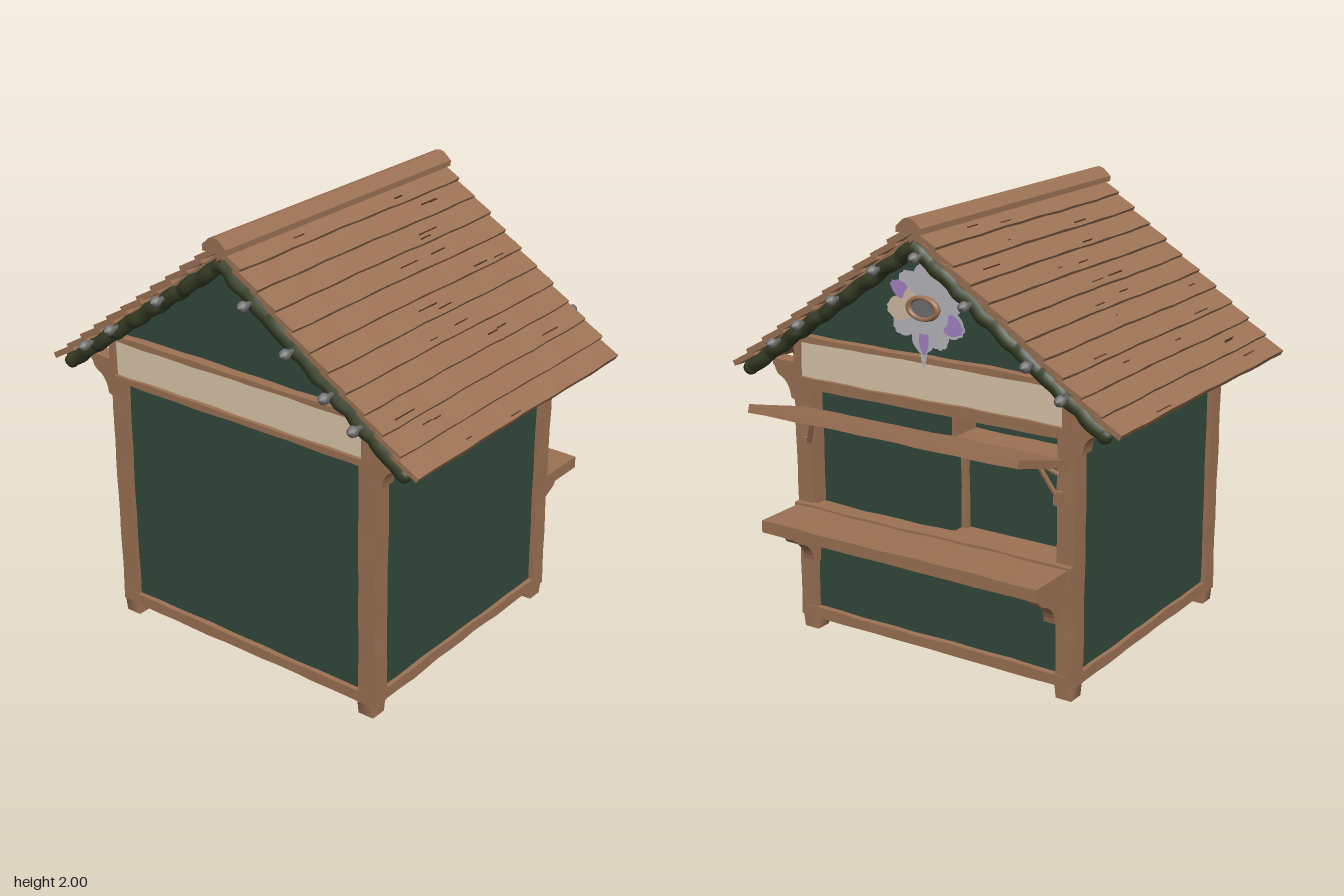
import * as THREE from 'three';

const mat = (name, color, side = THREE.FrontSide) => {
  const m = new THREE.MeshStandardMaterial({ color, side });
  m.name = name;
  return m;
};

export function createModel() {
  const root = new THREE.Group();
  root.name = 'marketStall';
  const wood = mat('wood', 0x9c7254);
  const crack = mat('darkCrack', 0x4b3222);
  const green = mat('greenPaint', 0x33493c);
  const leaf = mat('garlandGreen', 0x363d25);
  const cream = mat('cream', 0xdcc8ac);
  const grey = mat('bulbGrey', 0x707070);
  const petalWhite = mat('petalWhite', 0xb9b8bd, THREE.DoubleSide);
  const petalPurple = mat('petalPurple', 0xa583c4, THREE.DoubleSide);
  const petalCream = mat('petalCream', 0xd2bda4, THREE.DoubleSide);

  let seed = 7;
  const rand = () => (seed = (seed * 16807) % 2147483647) / 2147483647;

  const add = (name, geo, material, x = 0, y = 0, z = 0, parent = root) => {
    const m = new THREE.Mesh(geo, material);
    m.name = name;
    m.position.set(x, y, z);
    parent.add(m);
    return m;
  };
  // Box given by its limits
  const box = (name, material, x0, x1, y0, y1, z0, z1, parent = root) =>
    add(name, new THREE.BoxGeometry(x1 - x0, y1 - y0, z1 - z0), material,
      (x0 + x1) / 2, (y0 + y1) / 2, (z0 + z1) / 2, parent);
  // Hand-hewn board: a box gently waved along its length
  const hewn = (w, h, d, amp = 0.004) => {
    const n = s => (s > 0.3 ? 14 : 1);
    const g = new THREE.BoxGeometry(w, h, d, n(w), n(h), n(d));
    const p = g.attributes.position, s = rand() * 6;
    const axis = w >= h && w >= d ? 0 : h >= d ? 1 : 2;
    for (let i = 0; i < p.count; i++) {
      const c = [p.getX(i), p.getY(i), p.getZ(i)], t = c[axis];
      for (let a = 0; a < 3; a++)
        if (a !== axis) c[a] += amp * Math.sin(t * 13 + s + a * 2 + Math.sign(c[a])) * Math.cos(t * 7 + s);
      p.setXYZ(i, ...c);
    }
    g.computeVertexNormals();
    return g;
  };
  const beam = (name, x0, x1, y0, y1, z0, z1, parent = root) =>
    add(name, hewn(x1 - x0, y1 - y0, z1 - z0), wood, (x0 + x1) / 2, (y0 + y1) / 2, (z0 + z1) / 2, parent);
  // Curved bracket, growing along +x and hanging down from y = 0
  const bracket = (d, h, w) => {
    const s = new THREE.Shape();
    s.moveTo(0, 0);
    s.lineTo(0, -h);
    s.lineTo(d * 0.25, -h * 0.92);
    s.quadraticCurveTo(d * 0.3, -h * 0.55, d * 0.68, -h * 0.42);
    s.quadraticCurveTo(d * 0.9, -h * 0.35, d * 0.92, -h * 0.2);
    s.lineTo(d, -h * 0.15);
    s.lineTo(d, 0);
    return new THREE.ExtrudeGeometry(s, { depth: w, bevelEnabled: false, curveSegments: 6 }).translate(0, 0, -w / 2);
  };

  // Frame: posts, feet, eave corbels
  for (const x of [-0.715, 0.505]) for (const s of [-1, 1]) {
    beam('cornerPost', x - 0.043, x + 0.043, 0.06, 1.3, s * 0.68 - 0.043, s * 0.68 + 0.043);
    const foot = add('foot', new THREE.CylinderGeometry(0.06, 0.054, 0.07, 4).rotateY(Math.PI / 4), wood, x, 0.035, s * 0.675);
    foot.geometry.computeVertexNormals();
    add('eaveCorbel', bracket(0.13, 0.18, 0.08), wood, x, 1.26, s * 0.715).rotation.y = -s * Math.PI / 2;
  }

  // Floor and sill beams
  box('floor', wood, -0.73, 0.52, 0.065, 0.1, -0.69, 0.69);
  for (const s of [-1, 1]) {
    beam('sideSill', -0.75, 0.54, 0.06, 0.11, s * 0.695 - 0.025, s * 0.695 + 0.025);
    beam('sideTopRail', -0.75, 0.54, 1.24, 1.3, s * 0.695 - 0.025, s * 0.695 + 0.025);
    box('sideWall', green, -0.72, 0.51, 0.1, 1.33, s * 0.685 - 0.015, s * 0.685 + 0.015);
    // Scalloped valance below the eave
    const v = new THREE.Shape();
    v.moveTo(-0.67, 0.05);
    v.lineTo(-0.67, -0.04);
    for (let i = 0; i < 3; i++) {
      const a = -0.67 + i * 0.38;
      v.quadraticCurveTo(a + 0.04, 0.005, a + 0.19, 0.005);
      v.quadraticCurveTo(a + 0.34, 0.005, a + 0.38, i < 2 ? -0.025 : -0.04);
    }
    v.lineTo(0.47, 0.05);
    add('valance', new THREE.ExtrudeGeometry(v, { depth: 0.03, bevelEnabled: false, curveSegments: 6 }),
      wood, 0, 1.235, s * 0.715 - 0.015);
  }
  for (const x of [-0.735, 0.525]) beam('endSill', x - 0.025, x + 0.025, 0.06, 0.11, -0.7, 0.7);
  box('backWall', green, -0.735, -0.705, 0.1, 1.22, -0.67, 0.67);
  box('counterWall', green, 0.49, 0.52, 0.1, 0.56, -0.67, 0.67);

  // Gables with framed signs
  const tri = new THREE.Shape([[-0.74, 1.19], [0.74, 1.19], [0.74, 1.35], [0, 1.91], [-0.74, 1.35]]
    .map(p => new THREE.Vector2(...p)));
  for (const e of [{ x: -0.72, s: -1 }, { x: 0.51, s: 1 }]) {
    add('gable', new THREE.ExtrudeGeometry(tri, { depth: 0.04, bevelEnabled: false })
      .translate(0, 0, -0.02).rotateY(Math.PI / 2), green, e.x, 0, 0);
    const g = new THREE.Group();
    g.name = 'sign';
    g.position.x = e.x + e.s * 0.035;
    root.add(g);
    box('signPanel', cream, -0.012, 0.012, 1.2, 1.38, -0.68, 0.68, g);
    beam('signRail', -0.03, 0.03, 1.37, 1.395, -0.7, 0.7, g);
    beam('signRail', -0.03, 0.03, 1.18, 1.208, -0.7, 0.7, g);
    for (const s of [-1, 1]) beam('signStile', -0.028, 0.028, 1.19, 1.385, s * 0.685 - 0.015, s * 0.685 + 0.015, g);
  }
  beam('hatchHeader', 0.48, 0.55, 1.15, 1.19, -0.68, 0.68);

  // Shelves on the inside of the back wall
  for (const y of [0.63, 0.79, 0.93, 1.04]) beam('shelf', -0.71, -0.52, y - 0.012, y + 0.012, -0.61, 0.61);
  for (const s of [-1, 1]) box('shelfSide', wood, -0.71, -0.52, 0.62, 1.1, s * 0.61 - 0.01, s * 0.61 + 0.01);

  // Counter and its brackets
  beam('counterTop', 0.47, 0.82, 0.55, 0.605, -0.71, 0.71);
  beam('counterLip', 0.54, 0.58, 0.54, 0.615, -0.72, 0.72);
  for (const s of [-1, 1]) add('counterBracket', bracket(0.2, 0.21, 0.055), wood, 0.545, 0.555, s * 0.635);

  // Raised hatch with props
  const hatch = new THREE.Group();
  hatch.name = 'hatch';
  hatch.position.set(0.545, 1.05, 0);
  hatch.rotation.z = 0.275;
  root.add(hatch);
  box('hatchBoard', wood, 0, 0.37, -0.008, 0.014, -0.675, 0.675, hatch);
  box('hatchUnderside', green, 0.02, 0.35, -0.014, -0.008, -0.65, 0.65, hatch);
  beam('hatchEdge', 0.35, 0.378, -0.02, 0.014, -0.68, 0.68, hatch);
  beam('hatchEdge', -0.005, 0.02, -0.02, 0.014, -0.68, 0.68, hatch);
  for (const s of [-1, 1]) {
    box('hatchEnd', wood, 0, 0.37, -0.02, 0.012, s * 0.665 - 0.013, s * 0.665 + 0.013, hatch);
    const prop = (a, b) => add('hatchProp', new THREE.TubeGeometry(
      new THREE.LineCurve3(new THREE.Vector3(...a), new THREE.Vector3(...b)), 1, 0.011, 6), wood);
    prop([0.555, 0.89, s * 0.65], [0.61, 1.065, s * 0.57]);
    prop([0.55, 1.0, s * 0.64], [0.6, 1.05, s * 0.58]);
    box('propBlock', wood, 0.54, 0.57, 0.87, 0.93, s * 0.65 - 0.018, s * 0.65 + 0.018);
  }

  // Roof: deck and overlapping planks on both slopes
  const slope = Math.atan2(0.71, 0.96), cx = -0.0925;
  for (const s of [-1, 1]) {
    const side = new THREE.Group();
    side.name = 'roofSlope';
    side.position.set(cx, 1.945, 0);
    side.rotation.order = 'YXZ';
    side.rotation.set(slope, s > 0 ? 0 : Math.PI, 0);
    root.add(side);
    box('roofDeck', wood, -0.73, 0.73, -0.035, -0.012, 0, 1.16, side);
    for (let i = 0; i < 11; i++) {
      const w = 1.485 + rand() * 0.02;
      const p = add('roofPlank', hewn(w, 0.024, 0.135, 0.003), wood, (rand() - 0.5) * 0.008, 0.008, 0.065 + i * 0.1075, side);
      p.rotation.x = -0.13;
      for (let k = 0; k < 2; k++)
        add('plankCrack', new THREE.BoxGeometry(0.05 + rand() * 0.08, 0.006, 0.005), crack,
          (rand() - 0.5) * 1.2, 0.011, 0.05 * rand(), p);
    }
  }
  const cap = new THREE.Shape([[-0.062, 1.935], [0.062, 1.935], [0.062, 1.96], [0.025, 1.993], [0, 2], [-0.025, 1.993], [-0.062, 1.96]]
    .map(p => new THREE.Vector2(...p)));
  add('ridgeCap', new THREE.ExtrudeGeometry(cap, { depth: 1.53, bevelEnabled: false })
    .rotateY(Math.PI / 2), wood, -0.86, 0, 0);

  // Garlands and bulbs under the roof edges
  const bulb = new THREE.LatheGeometry([[0, 0], [0.011, 0], [0.012, 0.022], [0.025, 0.045], [0.02, 0.064], [0, 0.08]]
    .map(p => new THREE.Vector2(...p)), 10);
  for (const e of [{ x: 0.63, s: 1, z: [-0.74, -0.58, -0.29, -0.05, 0.16, 0.38, 0.57, 0.71] },
    { x: -0.815, s: -1, z: [-0.74, -0.58, -0.3, 0.17, 0.38, 0.57, 0.71] }]) {
    for (const s of [-1, 1]) {
      const pts = [];
      for (let i = 0; i <= 24; i++) {
        const t = i / 24;
        pts.push(new THREE.Vector3(e.x + 0.006 * Math.sin(i * 2.3), 1.875 - 0.645 * t + 0.005 * Math.sin(i * 1.9), s * 0.9 * t));
      }
      add('garland', new THREE.TubeGeometry(new THREE.CatmullRomCurve3(pts), 72, 0.034, 7), leaf);
      add('garlandEnd', new THREE.SphereGeometry(0.034, 8, 6), leaf, e.x, 1.23, s * 0.9);
    }
    for (const z of e.z)
      add('bulb', bulb, grey, e.x + e.s * 0.025, 1.88 - 0.7 * Math.abs(z), z).rotation.z = -e.s * Math.PI / 2;
  }

  // Painted flower on the counter gable
  const flower = new THREE.Group();
  flower.name = 'flower';
  flower.position.set(0.565, 1.61, -0.01);
  flower.rotation.y = Math.PI / 2;
  root.add(flower);
  const petal = (name, m, angle, len, wid, z, start = 0.03) => {
    const s = new THREE.Shape();
    s.moveTo(start, -0.01);
    s.bezierCurveTo(len * 0.45, -wid * 0.9, len * 0.85, -wid * 0.8, len * 0.93, -wid * 0.3);
    s.quadraticCurveTo(len * 1.03, -wid * 0.15, len * 0.97, 0);
    s.quadraticCurveTo(len * 1.04, wid * 0.2, len * 0.93, wid * 0.35);
    s.bezierCurveTo(len * 0.85, wid * 0.8, len * 0.45, wid * 0.9, start, 0.01);
    const g = add(name, new THREE.ShapeGeometry(s, 8), m, 0, 0, z, flower);
    g.rotation.z = angle * Math.PI / 180;
  };
  [[92, 0.19], [55, 0.2], [15, 0.19], [-25, 0.21], [-62, 0.19], [-95, 0.2], [-145, 0.19], [128, 0.18]]
    .forEach(([a, l], i) => petal('petal', petalWhite, a, l, 0.085, 0.002 * i));
  petal('creamPetal', petalCream, 186, 0.19, 0.075, 0.018);
  petal('creamPetal', petalCream, 153, 0.17, 0.05, 0.019);
  petal('purplePetal', petalPurple, 150, 0.19, 0.05, 0.022, 0.11);
  petal('purplePetal', petalPurple, -22, 0.21, 0.065, 0.022, 0.13);
  petal('purplePetal', petalPurple, -90, 0.2, 0.035, 0.022, 0.11);
  petal('petalDrip', petalWhite, -91, 0.255, 0.025, 0.019, 0.15);
  const ring = add('flowerRing', new THREE.TorusGeometry(0.07, 0.015, 8, 24), wood, 0, 0, 0.025, flower);
  ring.scale.set(1, 0.65, 1);
  const core = add('flowerCore', new THREE.CircleGeometry(0.066, 24), grey, 0, 0, 0.027, flower);
  core.scale.set(1, 0.65, 1);

  return root;
}
